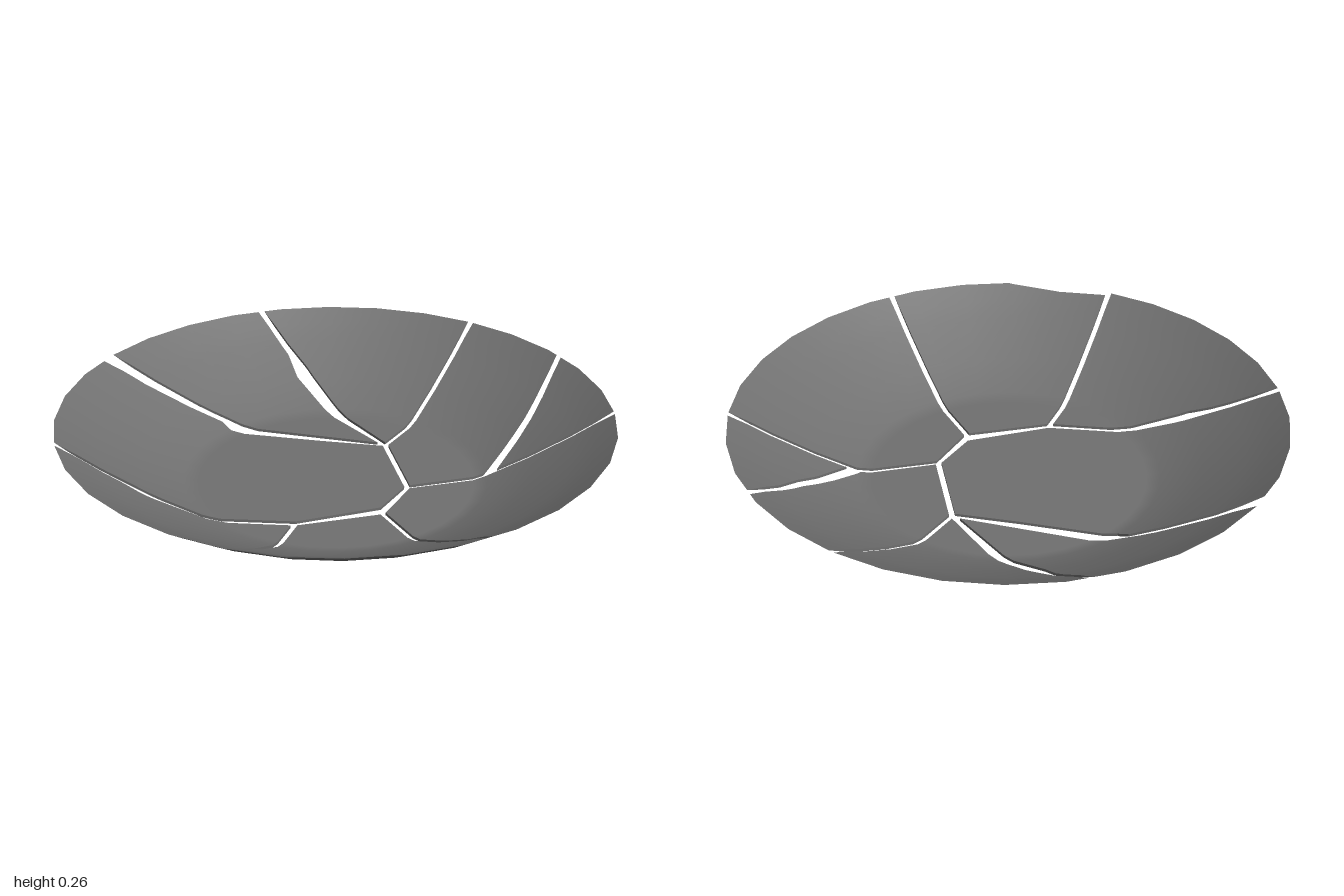
import * as THREE from 'three';

const SIDES = 32, GAP = 0.011, THICK = 0.01;
// Underside profile of the dish: radius, height
const PROFILE = [[0.5, 0], [0.55, 0.012], [0.7, 0.082], [0.85, 0.163], [0.93, 0.212], [1, 0.26]];
const V = (x, z) => new THREE.Vector2(x, z);
const polar = (r, a) => V(r * Math.cos(a), r * Math.sin(a));
const cross = (a, b, p) => (b.x - a.x) * (p.y - a.y) - (b.y - a.y) * (p.x - a.x);

// Slope of the profile at each ring, averaged so the wall shades smoothly
const grade = i => (PROFILE[i + 1][1] - PROFILE[i][1]) / (PROFILE[i + 1][0] - PROFILE[i][0]);
const SLOPE = PROFILE.map((_, i) =>
  i === 0 ? 0 : i === PROFILE.length - 1 ? grade(i - 1) : (grade(i - 1) + grade(i)) / 2);

// Cells of the dish: a flat centre and rings of flat quads
function dishCells() {
  const step = Math.PI * 2 / SIDES;
  const cells = [{
    corners: Array.from({ length: SIDES }, (_, i) => polar(PROFILE[0][0], i * step)),
    at: () => ({ y: 0, slope: 0, thick: THICK })
  }];
  for (let k = 0; k < PROFILE.length - 1; k++) {
    const [r0, y0] = PROFILE[k], [r1, y1] = PROFILE[k + 1];
    const last = k === PROFILE.length - 2;
    for (let i = 0; i < SIDES; i++) {
      const a = i * step, b = a + step, mid = polar(1 / Math.cos(step / 2), a + step / 2);
      cells.push({
        corners: [polar(r0, a), polar(r1, a), polar(r1, b), polar(r0, b)],
        at: p => {
          const t = (p.dot(mid) - r0) / (r1 - r0);
          return {
            y: y0 + (y1 - y0) * t,
            slope: SLOPE[k] + (SLOPE[k + 1] - SLOPE[k]) * t,
            thick: last ? THICK * (1 - t) : THICK // the rim tapers to an edge
          };
        }
      });
    }
  }
  return cells;
}

// Keep the part of a polygon that lies inside a convex cell
function clip(poly, corners) {
  corners.forEach((a, i) => {
    const b = corners[(i + 1) % corners.length], out = [];
    poly.forEach((p, j) => {
      const q = poly[(j + 1) % poly.length], dp = cross(a, b, p), dq = cross(a, b, q);
      if (dp >= 0) out.push(p);
      if ((dp >= 0) !== (dq >= 0)) out.push(p.clone().lerp(q, dp / (dp - dq)));
    });
    poly = out;
  });
  return poly.filter((p, i) => p.distanceTo(poly[(i + 1) % poly.length]) > 1e-6);
}

// Pull the outline of a shard inward to open the cracks
function inset(poly) {
  const normal = (a, b) => V(a.y - b.y, b.x - a.x).normalize();
  return poly.map((p, i) => {
    const n1 = normal(poly[(i + poly.length - 1) % poly.length], p);
    const n2 = normal(p, poly[(i + 1) % poly.length]);
    return n1.clone().add(n2).multiplyScalar(GAP / (1 + n1.dot(n2))).add(p);
  });
}

function shardGeometry(outline, cells) {
  let poly = outline.map(([x, z]) => V(x, z));
  if (THREE.ShapeUtils.area(poly) < 0) poly.reverse();
  poly = inset(poly);
  const pos = [], nor = [];
  const add = (p, y, n) => { pos.push(p.x, y, p.y); nor.push(n.x, n.y, n.z); };

  for (const { corners, at } of cells) {
    const piece = clip(poly, corners);
    if (piece.length < 3) continue;
    const surf = (p, top) => {
      const s = at(p), r = p.length() || 1;
      const n = new THREE.Vector3(-s.slope * p.x / r, 1, -s.slope * p.y / r).normalize();
      add(p, s.y + (top ? s.thick : 0), top ? n : n.negate());
    };
    // Underside and upper side
    for (const face of THREE.ShapeUtils.triangulateShape(piece, [])) {
      const t = face.map(i => piece[i]);
      if (cross(...t) < 0) t.reverse();
      t.forEach(p => surf(p, false));
      t.reverse().forEach(p => surf(p, true));
    }
    // Broken edges along the cracks
    piece.forEach((p, i) => {
      const q = piece[(i + 1) % piece.length], m = p.clone().lerp(q, 0.5);
      const onCell = corners.some((a, j) => {
        const b = corners[(j + 1) % corners.length];
        return cross(a, b, m) / a.distanceTo(b) < 1e-5;
      });
      if (onCell) return;
      const n = new THREE.Vector3(q.y - p.y, 0, p.x - q.x).normalize();
      const sp = at(p), sq = at(q);
      add(p, sp.y, n); add(p, sp.y + sp.thick, n); add(q, sq.y + sq.thick, n);
      add(p, sp.y, n); add(q, sq.y + sq.thick, n); add(q, sq.y, n);
    });
  }
  const g = new THREE.BufferGeometry();
  g.setAttribute('position', new THREE.Float32BufferAttribute(pos, 3));
  g.setAttribute('normal', new THREE.Float32BufferAttribute(nor, 3));
  return g;
}

export function createModel() {
  const group = new THREE.Group();
  group.name = 'brokenDish';
  const material = new THREE.MeshStandardMaterial({ color: 0x707070, side: THREE.DoubleSide });

  // Crack junctions inside the dish and crack ends on the rim, as x and z
  const A = [0.28, -0.17], B = [0.21, 0.165], C = [0.045, 0.3], D = [-0.265, 0.25], E = [0.51, 0.215];
  const backEnd = [0.115, -0.995], backLeft = [0.835, -0.555], left = [0.99, -0.13], frontLeft = [0.925, 0.38];
  const front = [0.1, 0.995], frontRight = [-0.71, 0.705], right = [-0.985, -0.205], backRight = [-0.6, -0.8];
  // Carry an outline past the rim from one crack end to the next
  const beyond = p => p.map(v => v * 1.3);
  const rim = (a, b) => [a, beyond(a), beyond(b), b];

  const shards = {
    backShard: [A, [0.155, -0.69], [0.16, -0.79], ...rim(backEnd, [-0.56, -0.82]), [-0.21, -0.555]],
    backLeftShard: [A, [0.185, -0.72], [0.165, -0.8], ...rim(backEnd, backLeft)],
    leftShard: [A, ...rim(backLeft, left), [0.76, 0.045], [0.5, 0.21], B],
    leftRimShard: [E, [0.54, 0.21], [0.76, 0.06], ...rim(left, frontLeft)],
    frontLeftShard: [B, E, ...rim(frontLeft, front), C],
    frontShard: [C, front, beyond(front), [-0.45, 1.2], [-0.38, 0.935], frontRight, D],
    rightShard: [D, ...rim(frontRight, right), [-0.78, -0.055], [-0.72, 0], [-0.53, 0.105]],
    centreShard: [A, B, [0.06, 0.275], [-0.26, 0.245], [-0.53, 0.1], [-0.75, -0.045],
      ...rim(right, backRight), [-0.51, -0.745], [-0.22, -0.55], [-0.2, -0.505], [0.08, -0.305]]
  };

  const cells = dishCells();
  for (const [name, outline] of Object.entries(shards)) {
    const mesh = new THREE.Mesh(shardGeometry(outline, cells), material);
    mesh.name = name;
    group.add(mesh);
  }
  return group;
}
